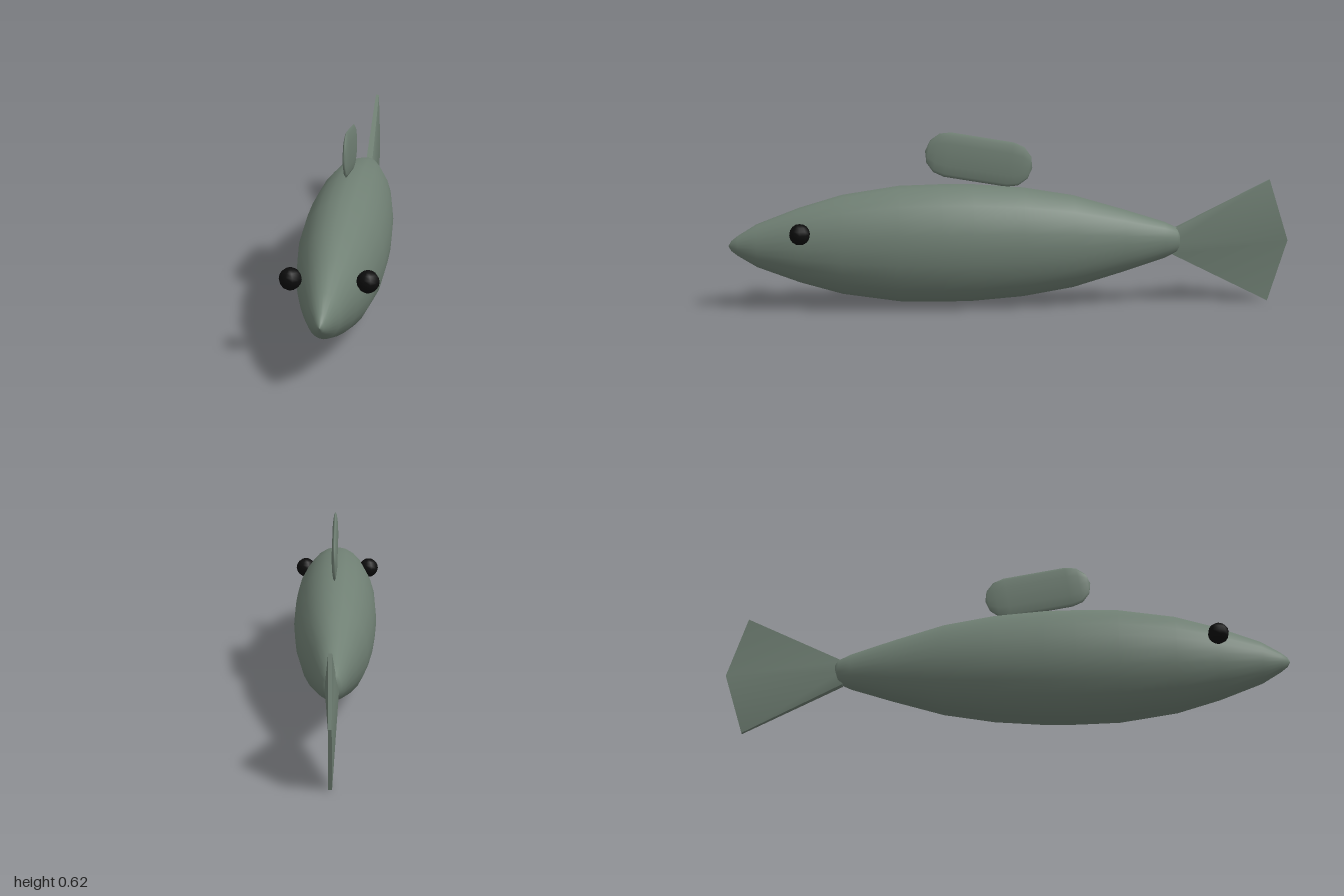
import * as THREE from 'three';
import { toCreasedNormals } from 'three/addons/utils/BufferGeometryUtils.js';

const skin = new THREE.MeshStandardMaterial({ color: 0x708074 });
skin.name = 'greyGreenSkin';
const black = new THREE.MeshStandardMaterial({ color: 0x0c0c0c });
black.name = 'blackEye';

const MID = 0.232;

function addMesh(group, name, geometry, material) {
  const mesh = new THREE.Mesh(geometry, material);
  mesh.name = name;
  group.add(mesh);
  return mesh;
}

// Spindle body: lathe profile as [radius, z], narrowed in x
function bodyGeometry() {
  const profile = [
    [0, -0.61], [0.03, -0.607], [0.045, -0.595], [0.066, -0.55], [0.114, -0.4],
    [0.167, -0.22], [0.197, -0.04], [0.211, 0.14], [0.212, 0.25], [0.208, 0.4],
    [0.178, 0.6], [0.134, 0.75], [0.077, 0.9], [0.036, 0.967], [0.018, 0.99], [0, 1],
  ].map(([r, z]) => new THREE.Vector2(r, z));
  return new THREE.LatheGeometry(profile, 24).rotateX(Math.PI / 2).scale(0.708, 1, 1);
}

// Tail fin: two six-point rings, thick at the root and thin at the pointed rear edge
function tailGeometry() {
  const ring = (midX, edgeX, half, midZ, edgeZ) => [
    [midX, 0, midZ], [edgeX, half, edgeZ], [-edgeX, half, edgeZ],
    [-midX, 0, midZ], [-edgeX, -half, edgeZ], [edgeX, -half, edgeZ],
  ];
  const positions = [
    ...ring(0.024, 0.012, 0.045, -0.58, -0.58),
    ...ring(0.006, 0.006, 0.221, -1, -0.93),
  ].flat();
  const index = [];
  for (let i = 0; i < 6; i++) {
    const j = (i + 1) % 6;
    index.push(i, i + 6, j + 6, i, j + 6, j);
  }
  // rear edge, then root cap
  index.push(6, 9, 8, 6, 8, 7, 6, 11, 10, 6, 10, 9);
  index.push(0, 1, 2, 0, 2, 3, 0, 3, 4, 0, 4, 5);
  const geometry = new THREE.BufferGeometry();
  geometry.setAttribute('position', new THREE.Float32BufferAttribute(positions, 3));
  geometry.setIndex(index);
  return toCreasedNormals(geometry, 0.6);
}

export function createModel() {
  const fish = new THREE.Group();
  fish.name = 'fish';

  addMesh(fish, 'body', bodyGeometry(), skin).position.y = MID;
  addMesh(fish, 'tailFin', tailGeometry(), skin).position.y = 0.225;

  // Flattened capsule as dorsal fin, tilted up towards the head
  const fin = new THREE.CapsuleGeometry(0.08, 0.225, 3, 12)
    .rotateX(Math.PI / 2)
    .scale(0.135, 1, 1)
    .rotateX(-0.17);
  addMesh(fish, 'dorsalFin', fin, skin).position.set(0, 0.53, 0.115);

  // Eyes
  for (const [name, side] of [['leftEye', 1], ['rightEye', -1]]) {
    addMesh(fish, name, new THREE.SphereGeometry(0.037, 10, 8), black)
      .position.set(side * 0.124, 0.292, 0.745);
  }
  return fish;
}
